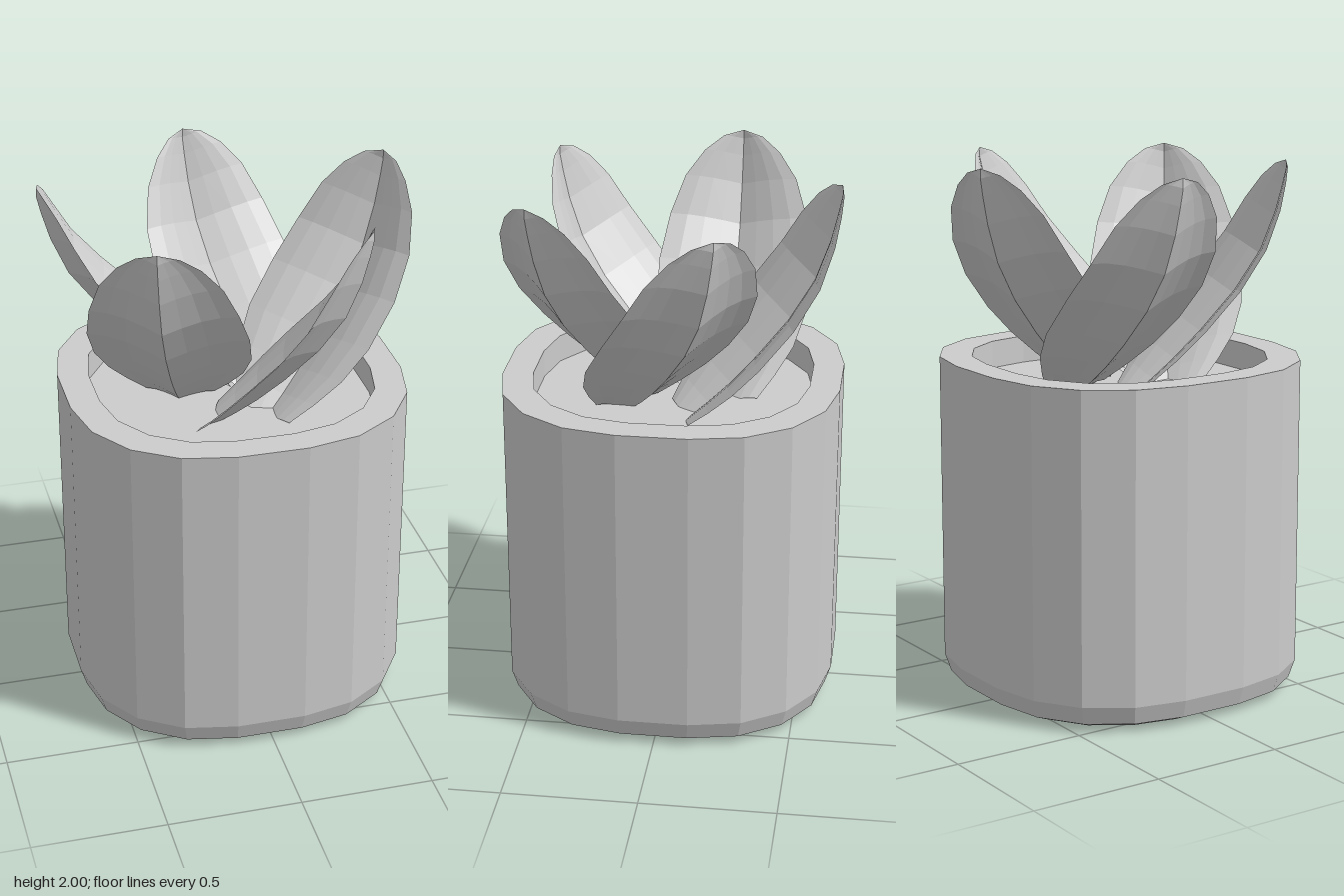
import * as THREE from 'three';

const material = new THREE.MeshStandardMaterial({ color: 0xcccccc, flatShading: true });
const leafMaterial = new THREE.MeshStandardMaterial({ color: 0xcccccc, flatShading: true, side: THREE.DoubleSide });

// One quarter of the pot's rounded-square outline, turned four times
const quarter = [[0.13, 0.63], [0.325, 0.59], [0.485, 0.485], [0.59, 0.325], [0.63, 0.13]];
const outline = [];
for (let k = 0; k < 4; k++) {
  for (let [x, z] of quarter) {
    for (let n = 0; n < k; n++) [x, z] = [z, -x];
    outline.push([x, z]);
  }
}

// Sweeps a profile of [scale, height] pairs round the outline
function sweep(name, profile) {
  const geo = new THREE.LatheGeometry(profile.map(([s, y]) => new THREE.Vector2(s, y)), outline.length);
  const pos = geo.attributes.position;
  for (let i = 0; i < pos.count; i++) {
    const [x, z] = outline[Math.floor(i / profile.length) % outline.length];
    const [s, y] = profile[i % profile.length];
    pos.setXYZ(i, x * s, y, z * s);
  }
  geo.computeVertexNormals();
  const mesh = new THREE.Mesh(geo, material);
  mesh.name = name;
  mesh.position.x = -0.012;
  return mesh;
}

// Leaf cross-sections from base to tip: outward reach, height, half width
const sections = [
  [0, 1.15, 0.13], [0.08, 1.21, 0.19], [0.17, 1.285, 0.25], [0.28, 1.385, 0.288], [0.42, 1.525, 0.292],
  [0.53, 1.67, 0.265], [0.595, 1.81, 0.215], [0.63, 1.91, 0.145], [0.65, 1.97, 0.075], [0.655, 2, 0],
];
const COLUMNS = 8;
const SIDE_SHIFT = 0.185; // the blades sit beside the centre, like a pinwheel

function makeLeaf(angle, reach) {
  const a = THREE.MathUtils.degToRad(angle);
  const positions = [], index = [];
  sections.forEach(([out, y, half], row) => {
    for (let c = 0; c <= COLUMNS; c++) {
      const v = (c / COLUMNS) * 2 - 1;
      const cup = half * (0.34 * Math.sin(Math.abs(v) * 1.6) - 0.11); // sunken midrib, lips flattening out
      const u = out * reach / 0.655 - cup * 0.7;
      const w = SIDE_SHIFT + v * half;
      positions.push(
        u * Math.cos(a) - w * Math.sin(a) - 0.015,
        y + cup * 0.6,
        u * Math.sin(a) + w * Math.cos(a));
      if (row && c) {
        const d = row * (COLUMNS + 1) + c, b = d - COLUMNS - 1;
        index.push(b - 1, d - 1, b); // front faces look into the rosette
        if (half) index.push(b, d - 1, d);
      }
    }
  });
  const geo = new THREE.BufferGeometry();
  geo.setAttribute('position', new THREE.Float32BufferAttribute(positions, 3));
  geo.setIndex(index);
  geo.computeVertexNormals();
  return new THREE.Mesh(geo, leafMaterial);
}

export function createModel() {
  const group = new THREE.Group();
  group.name = 'pottedPlant';

  // Pot with a bevelled foot and a thick rim
  group.add(sweep('pot', [[0, 0], [0.86, 0], [0.965, 0.03], [1, 0.1], [1, 1.265], [0.82, 1.265], [0.82, 1.16]]));
  group.add(sweep('soil', [[0.82, 1.16], [0, 1.16]]));

  // Five cupped leaves: direction in degrees from +x towards +z, and reach
  const leaves = [[33, 0.59], [110, 0.585], [180, 0.665], [250, 0.58], [326, 0.66]];
  leaves.forEach(([angle, reach], i) => {
    const leaf = makeLeaf(angle, reach);
    leaf.name = `leaf${i + 1}`;
    group.add(leaf);
  });
  return group;
}
